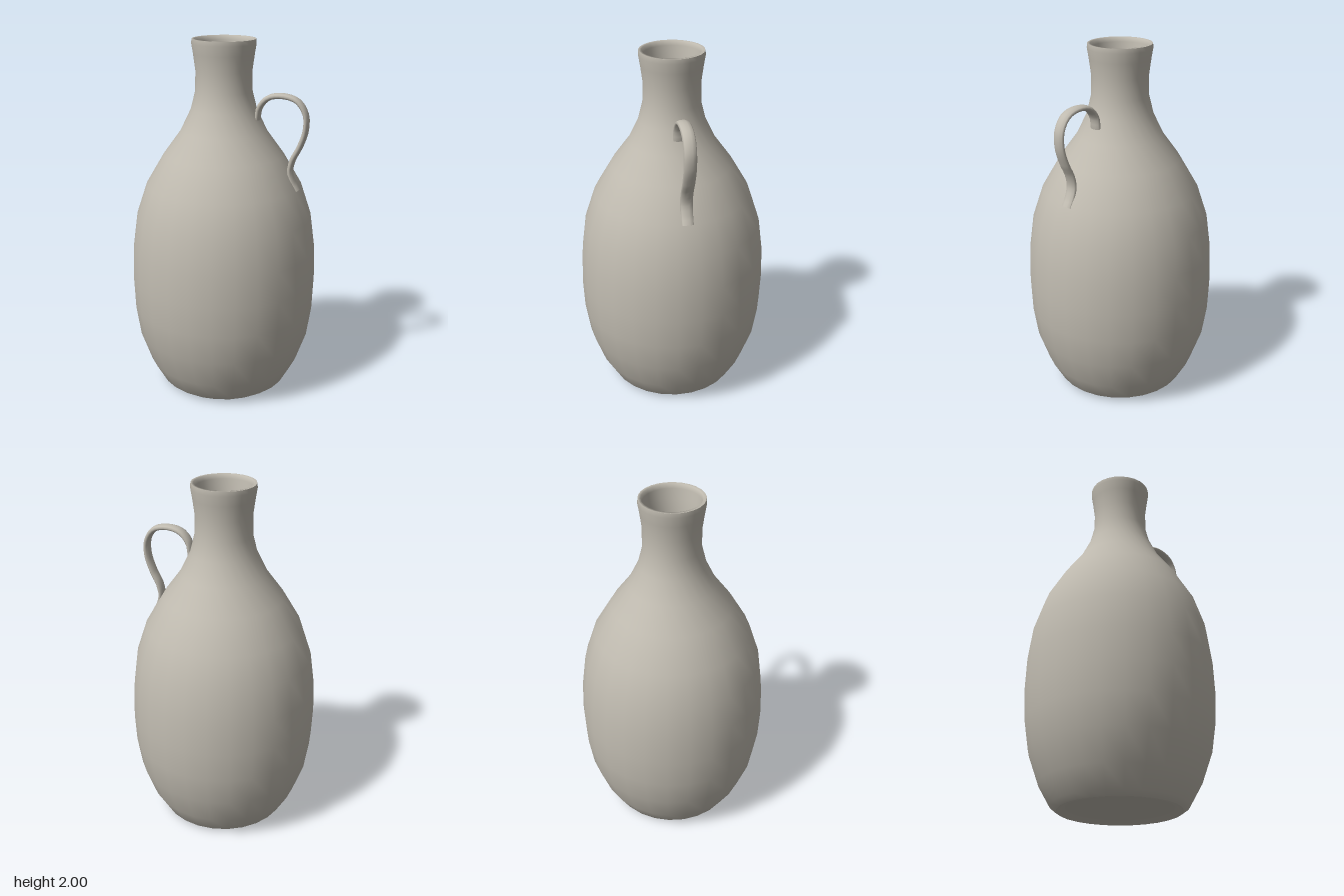
import * as THREE from 'three';

const v2 = (points) => points.map(([x, y]) => new THREE.Vector2(x, y));

export function createModel() {
  const model = new THREE.Group();
  model.name = 'jug';
  const clay = new THREE.MeshStandardMaterial({ color: 0xc0bbb0 });
  clay.name = 'grey clay';
  const sides = 26;

  const addLathe = (name, points) => {
    const mesh = new THREE.Mesh(new THREE.LatheGeometry(v2(points), sides), clay);
    mesh.name = name;
    model.add(mesh);
  };

  // Outer wall, from foot to lip
  const wall = [
    [0.335, 0], [0.37, 0.025], [0.435, 0.14], [0.495, 0.31], [0.521, 0.48],
    [0.528, 0.65], [0.521, 0.83], [0.495, 1.02], [0.435, 1.2], [0.335, 1.37],
    [0.24, 1.5], [0.182, 1.62], [0.157, 1.72], [0.155, 1.83], [0.167, 1.92],
    [0.176, 1.975], [0.174, 2],
  ];
  addLathe('body', wall);

  // Lip and inner wall, following the outer wall down to the floor
  const inner = wall.slice(2, -1).reverse().map(([r, y]) => [r - 0.022, y]);
  addLathe('lip', [[0.174, 2], [0.158, 2], inner[0]]);
  addLathe('innerWall', [...inner, [0.34, 0.06], [0, 0.05]]);

  // Slightly hollow underside
  addLathe('base', [[0, 0.03], [0.28, 0.025], [0.31, 0.004], [0.335, 0]]);

  // Flat strap handle on the left side
  const path = new THREE.CatmullRomCurve3([
    [0.196, 1.575], [0.207, 1.64], [0.255, 1.695], [0.335, 1.711], [0.42, 1.688],
    [0.466, 1.62], [0.468, 1.53], [0.438, 1.44], [0.4, 1.365], [0.388, 1.3],
    [0.405, 1.24], [0.43, 1.195],
  ].map(([x, y]) => new THREE.Vector3(x, y, 0)));
  const thickness = 0.0155;
  const handle = new THREE.Group();
  handle.name = 'handle';
  handle.scale.z = 2.2;
  const strap = new THREE.Mesh(new THREE.TubeGeometry(path, 32, thickness, 10), clay);
  strap.name = 'handleStrap';
  handle.add(strap);
  for (const end of [0, 1]) {
    const cap = new THREE.Mesh(new THREE.CircleGeometry(thickness, 10), clay);
    cap.name = end ? 'handleLowerEnd' : 'handleUpperEnd';
    const outward = path.getTangentAt(end).multiplyScalar(end ? 1 : -1);
    cap.quaternion.setFromUnitVectors(new THREE.Vector3(0, 0, 1), outward);
    cap.position.copy(path.getPointAt(end));
    handle.add(cap);
  }
  model.add(handle);
  return model;
}
